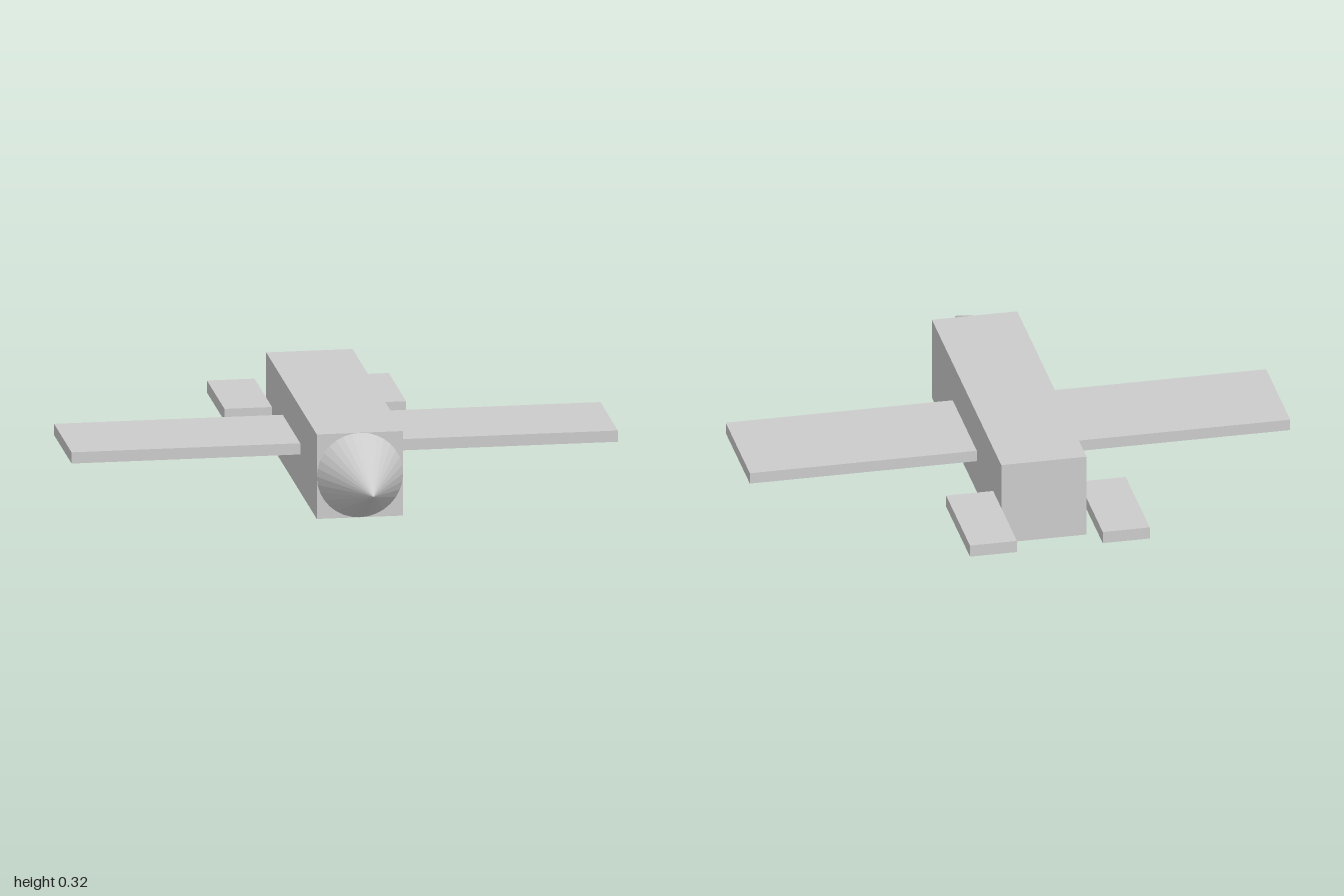
import * as THREE from 'three';

const material = new THREE.MeshStandardMaterial({ color: 0xcccccc, flatShading: true });

// Box given by its [min, max] range on each axis
function slab(name, [x0, x1], [y0, y1], [z0, z1]) {
  const mesh = new THREE.Mesh(new THREE.BoxGeometry(x1 - x0, y1 - y0, z1 - z0), material);
  mesh.position.set((x0 + x1) / 2, (y0 + y1) / 2, (z0 + z1) / 2);
  mesh.name = name;
  return mesh;
}

export function createModel() {
  const model = new THREE.Group();
  model.name = 'airplane';

  // Square fuselage
  model.add(slab('fuselage', [-0.163, 0.153], [0, 0.316], [-0.61, 0.57]));

  // Nose cone pointing forward
  const nose = new THREE.Mesh(new THREE.ConeGeometry(0.158, 0.315, 32), material);
  nose.name = 'noseCone';
  nose.rotation.x = Math.PI / 2;
  nose.position.set(-0.005, 0.158, 0.57 + 0.1575);
  model.add(nose);

  // Main wings
  const wingY = [0.141, 0.183], wingZ = [-0.226, 0.184];
  model.add(slab('leftWing', [0.16, 1], wingY, wingZ));
  model.add(slab('rightWing', [-1, -0.16], wingY, wingZ));

  // Tail fins, reaching back past the fuselage
  const tailY = [0.102, 0.147];
  model.add(slab('leftTailFin', [0.155, 0.329], tailY, [-0.887, -0.481]));
  model.add(slab('rightTailFin', [-0.337, -0.163], tailY, [-0.884, -0.475]));

  return model;
}
